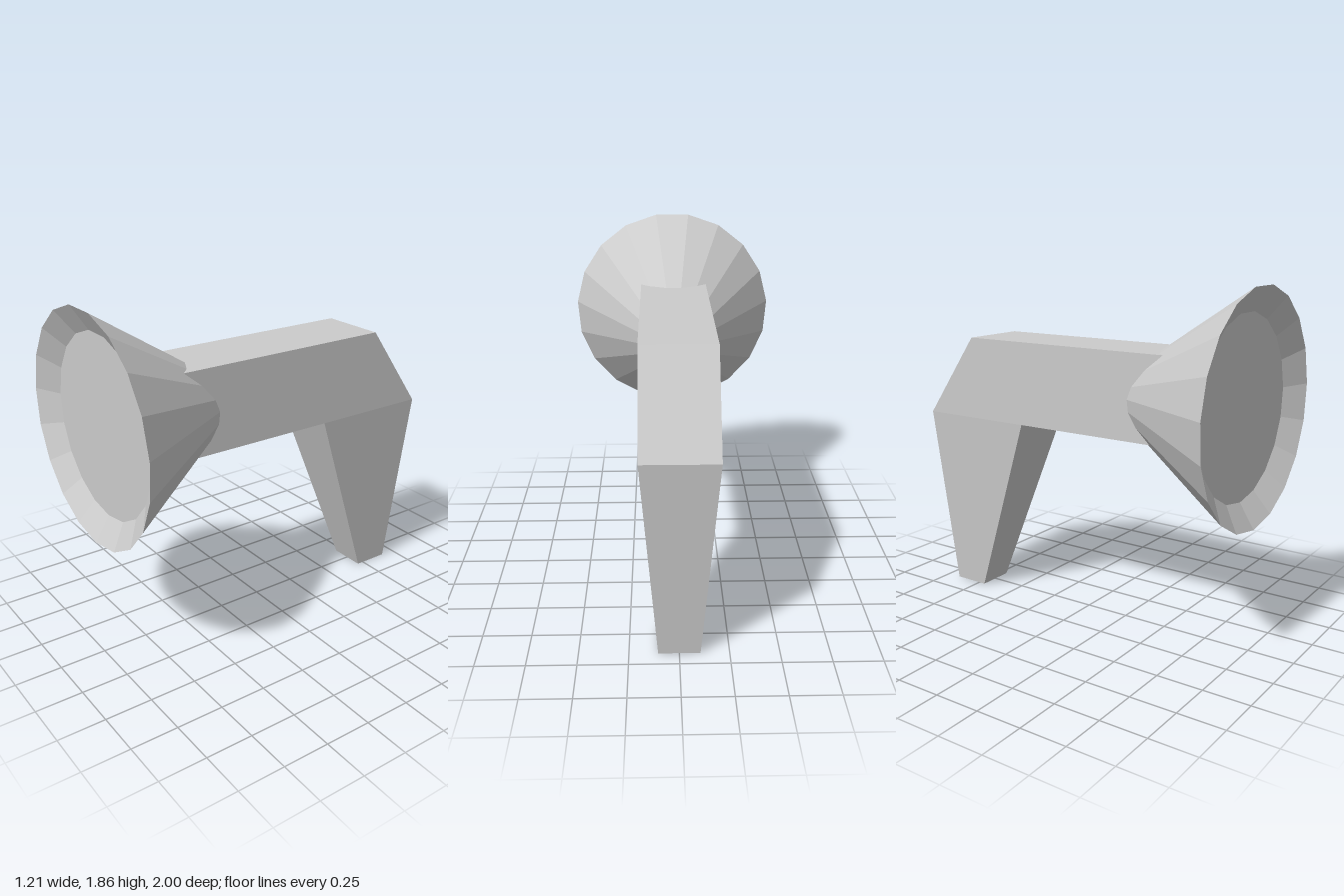
import * as THREE from 'three';

const HALF_WIDTH = 0.19, SHAFT_BOTTOM = 1.06, SHAFT_TOP = 1.52;

export function createModel() {
  const model = new THREE.Group();
  const material = new THREE.MeshStandardMaterial({ color: 0xcccccc, flatShading: true });
  const add = (name, geometry) => {
    const mesh = new THREE.Mesh(geometry, material);
    mesh.name = name;
    model.add(mesh);
    return mesh;
  };

  // Horn: 19-sided flared cone with a shallow recessed face, axis along z
  const hornProfile = [[0, 0.3], [0.15, 0.3], [0.607, 1], [0.476, 0.92], [0, 0.92]]
    .map(([r, z]) => new THREE.Vector2(r, z));
  const horn = new THREE.LatheGeometry(hornProfile, 19);
  horn.rotateX(Math.PI / 2);
  add('horn', horn).position.y = 1.262;

  // Shaft: side profile (z, y) with a sloped back corner, extruded across x
  const shaftShape = new THREE.Shape([
    [0.62, SHAFT_BOTTOM], [0.62, SHAFT_TOP], [-0.675, SHAFT_TOP], [-1, SHAFT_BOTTOM],
  ].map(([z, y]) => new THREE.Vector2(z, y)));
  const shaft = new THREE.ExtrudeGeometry(shaftShape, { depth: 2 * HALF_WIDTH, bevelEnabled: false });
  shaft.translate(0, 0, -HALF_WIDTH);
  shaft.rotateY(-Math.PI / 2);
  add('shaft', shaft);

  // Handle: box tapered in width and depth towards its foot
  const handle = new THREE.BoxGeometry(2, 1, 2);
  const p = handle.attributes.position;
  for (let i = 0; i < p.count; i++) {
    const top = p.getY(i) > 0, front = p.getZ(i) > 0;
    const halfWidth = top ? HALF_WIDTH : 0.105;
    const z = top ? (front ? -0.325 : -1) : (front ? -0.71 : -0.915);
    p.setXYZ(i, p.getX(i) * halfWidth, top ? SHAFT_BOTTOM : 0, z);
  }
  handle.computeVertexNormals();
  add('handle', handle);

  return model;
}
